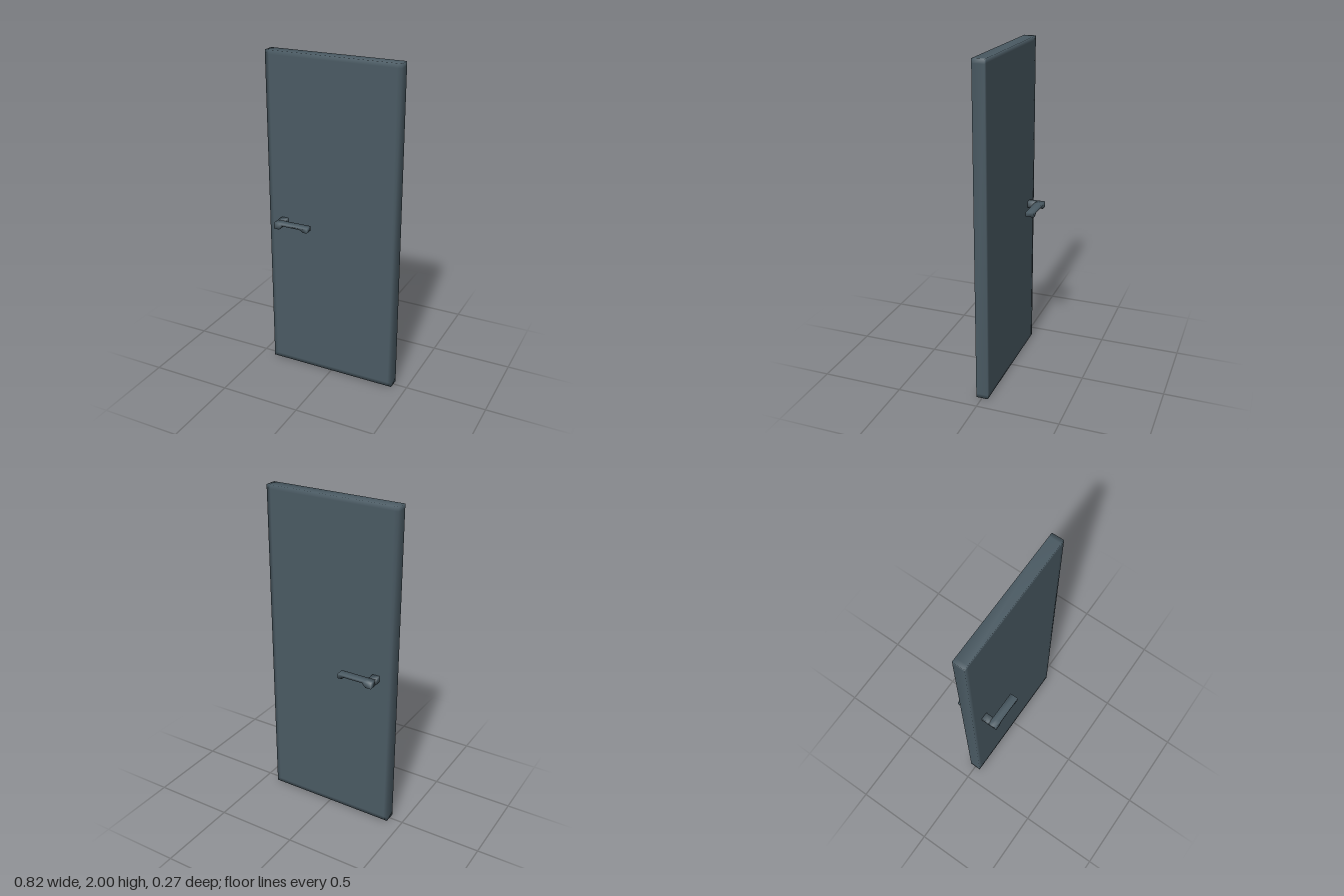
import * as THREE from 'three';
import { mergeVertices } from 'three/addons/utils/BufferGeometryUtils.js';

const paint = new THREE.MeshStandardMaterial({ color: 0x4a5a63 });
paint.name = 'slate paint';

// Weld the corners so that shading runs softly over the edges
function soften(geometry) {
  geometry.deleteAttribute('uv');
  geometry.deleteAttribute('normal');
  const welded = mergeVertices(geometry, 1e-4);
  welded.computeVertexNormals();
  return welded;
}

function addPart(parent, name, geometry, x, y, z) {
  const mesh = new THREE.Mesh(geometry, paint);
  mesh.name = name;
  mesh.position.set(x, y, z);
  parent.add(mesh);
  return mesh;
}

// Slab with an edge loop close to its border, which keeps the faces flat
function slabGeometry(width, height, depth, inset) {
  const g = new THREE.BoxGeometry(width, height, depth, 3, 3, 1);
  const p = g.attributes.position;
  const toEdge = (v, half) => (Math.abs(v) < half - 1e-4 ? Math.sign(v) * (half - inset) : v);
  for (let i = 0; i < p.count; i++) {
    p.setX(i, toEdge(p.getX(i), width / 2));
    p.setY(i, toEdge(p.getY(i), height / 2));
  }
  return soften(g);
}

// Lever seen from the front: deep at the stem, slim grip, dropped tip
function leverGeometry(depth) {
  const outline = [
    [-0.33, 0.962], [-0.294, 0.962], [-0.285, 0.972], [-0.272, 0.986],
    [-0.156, 0.986], [-0.135, 0.972], [-0.11, 0.972], [-0.11, 1.0],
    [-0.285, 1.0], [-0.33, 1.0],
  ].map(([x, y]) => new THREE.Vector2(x, y));
  const g = new THREE.ExtrudeGeometry(new THREE.Shape(outline), {
    depth, steps: 2, bevelEnabled: false,
  });
  g.translate(0, 0, -depth / 2);
  return soften(g);
}

export function createModel() {
  const door = new THREE.Group();
  door.name = 'door';

  addPart(door, 'doorLeaf', slabGeometry(0.824, 2, 0.072, 0.025), 0, 1, 0);

  // One handle on each face, both on the same edge of the leaf
  const lever = leverGeometry(0.052);
  const stem = soften(new THREE.BoxGeometry(0.044, 0.038, 0.056));
  for (const [side, name] of [[1, 'frontHandle'], [-1, 'backHandle']]) {
    const handle = new THREE.Group();
    handle.name = name;
    addPart(handle, 'lever', lever, 0, 0, side * 0.11);
    addPart(handle, 'stem', stem, -0.308, 0.981, side * 0.058);
    door.add(handle);
  }
  return door;
}
